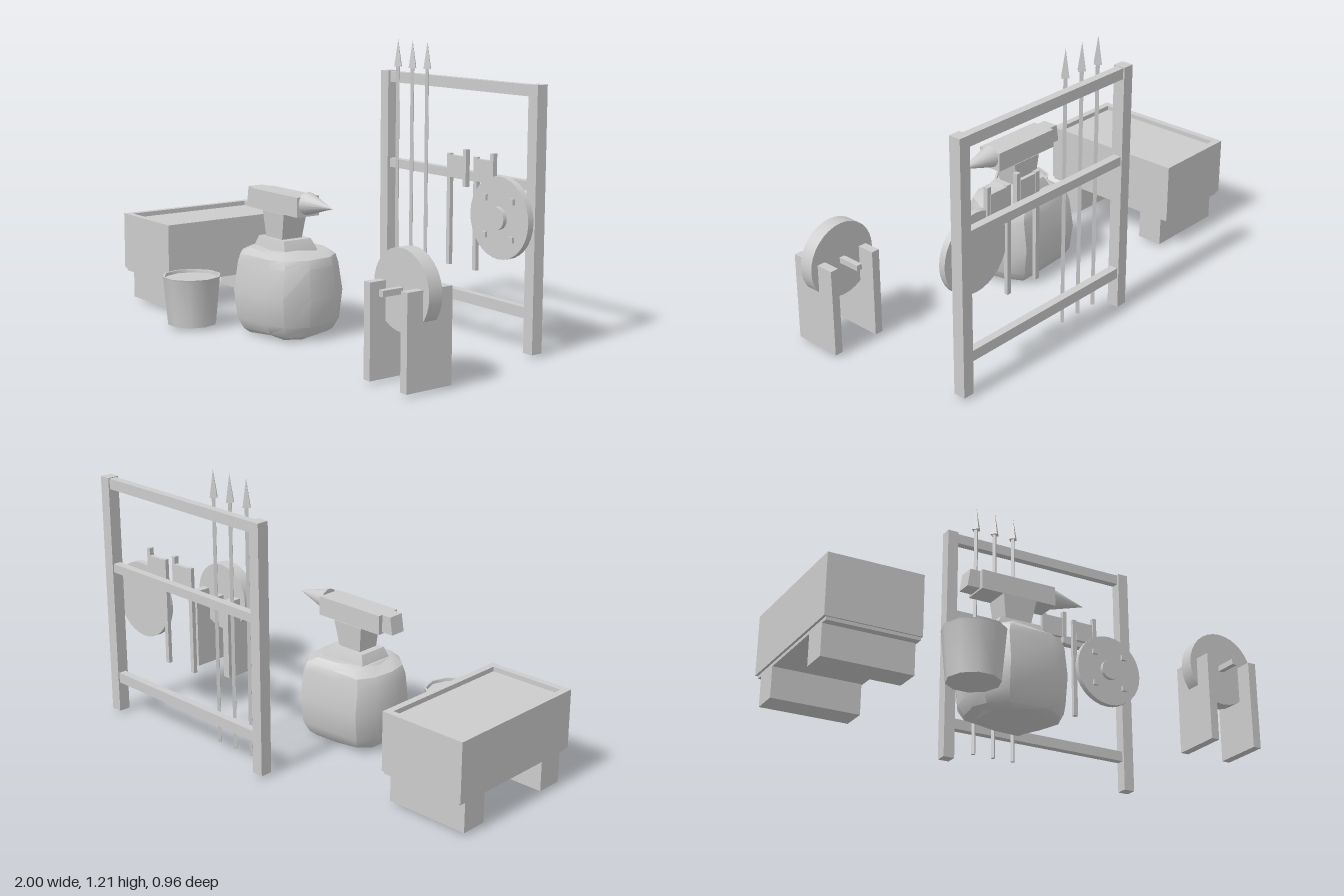
import * as THREE from 'three';
import { toCreasedNormals } from 'three/addons/utils/BufferGeometryUtils.js';

export function createModel() {
  const model = new THREE.Group();
  const grey = new THREE.MeshStandardMaterial({ color: 0xcccccc });
  grey.name = 'plain grey';

  function group(name) {
    const g = new THREE.Group();
    g.name = name;
    model.add(g);
    return g;
  }
  function add(parent, name, geo, x = 0, y = 0, z = 0) {
    const m = new THREE.Mesh(geo, grey);
    m.name = name;
    m.position.set(x, y, z);
    parent.add(m);
    return m;
  }
  // Box given by its limits on each axis
  function box(parent, name, [x0, x1], [y0, y1], [z0, z1]) {
    return add(parent, name, new THREE.BoxGeometry(x1 - x0, y1 - y0, z1 - z0),
      (x0 + x1) / 2, (y0 + y1) / 2, (z0 + z1) / 2);
  }
  // Closed solid from stacked rings of [x, y, z] points, listed bottom to top
  function loft(rings, crease) {
    const n = rings[0].length, pos = rings.flat(2), idx = [];
    rings.slice(1).forEach((_, r) => {
      for (let i = 0; i < n; i++) {
        const a = r * n + i, b = r * n + (i + 1) % n;
        idx.push(a, a + n, b, b, a + n, b + n);
      }
    });
    const top = (rings.length - 1) * n;
    for (let i = 1; i < n - 1; i++) {
      idx.push(0, i, i + 1);
      idx.push(top, top + i + 1, top + i);
    }
    const g = new THREE.BufferGeometry();
    g.setAttribute('position', new THREE.Float32BufferAttribute(pos, 3));
    g.setIndex(idx);
    return toCreasedNormals(g, crease);
  }
  // Rectangle ring at height y, clockwise from above
  const rect = (y, x0, x1, z0, z1) => [[x0, y, z0], [x1, y, z0], [x1, y, z1], [x0, y, z1]];

  // Trough: block with a raised rim and two feet
  const trough = group('trough');
  box(trough, 'troughBody', [-0.99, -0.615], [0.147, 0.165], [-0.308, 0.343]);
  box(trough, 'troughFilling', [-0.99, -0.62], [0.16, 0.39], [-0.305, 0.34]);
  const wall = new THREE.Shape();
  wall.moveTo(-1, -0.35).lineTo(-0.61, -0.35).lineTo(-0.61, 0.315).lineTo(-1, 0.315);
  const opening = new THREE.Path();
  opening.moveTo(-0.97, -0.32).lineTo(-0.97, 0.285).lineTo(-0.64, 0.285).lineTo(-0.64, -0.32);
  wall.holes.push(opening);
  const wallGeo = new THREE.ExtrudeGeometry(wall, { depth: 0.25, bevelEnabled: false });
  wallGeo.rotateX(-Math.PI / 2);
  add(trough, 'troughWalls', wallGeo, 0, 0.16, 0);
  for (const z of [-0.275, 0.195])
    box(trough, 'troughFoot', [-0.99, -0.62], [0.02, 0.15], [z, z + 0.115]);

  // Bucket: ten-sided, filled almost to the rim
  const profile = [[0, 0.02], [0.105, 0.02], [0.124, 0.22], [0.126, 0.228], [0.117, 0.228], [0.115, 0.215], [0, 0.215]]
    .map(([r, y]) => new THREE.Vector2(r, y));
  const bucketGeo = toCreasedNormals(new THREE.LatheGeometry(profile, 10), 0.7);
  bucketGeo.rotateY(Math.PI / 2);
  add(model, 'bucket', bucketGeo, -0.405, 0, 0.36);

  // Boulder: one uneven outline, scaled and shifted for each level
  const outline = [[-0.29, 0], [-0.25, -0.08], [-0.1, -0.08], [0.06, -0.09], [0.12, -0.01], [0.135, 0.13],
    [0.085, 0.23], [0.01, 0.27], [-0.2, 0.28], [-0.28, 0.21], [-0.3, 0.11]];
  const levels = [[0.008, 0.68, 0.7, 0.05], [0.025, 0.86, 0.8, 0.03], [0.07, 0.97, 0.92, 0.015],
    [0.19, 1, 1, 0], [0.31, 0.97, 0.9, 0], [0.345, 0.9, 0.86, 0], [0.372, 0.62, 0.72, 0.04]];
  const rings = levels.map(([y, sx, sz, wobble]) => outline.map(([x, z], i) => [
    -0.083 + (x + 0.083) * sx,
    y + wobble * 0.35 * Math.max(0, Math.sin(i * 2.1)) * (y > 0.3 ? -1 : 1),
    0.097 + (z - 0.097) * sz,
  ]));
  add(model, 'boulder', loft(rings, 0.6));

  // Anvil
  const anvil = group('anvil');
  add(anvil, 'anvilBase', loft([rect(0.35, -0.205, 0.025, 0.01, 0.18), rect(0.372, -0.2, 0.02, 0.015, 0.175),
    rect(0.412, -0.18, 0, 0.03, 0.165)], 0.3));
  add(anvil, 'anvilWaist', loft([rect(0.41, -0.15, -0.035, 0.05, 0.15), rect(0.52, -0.163, -0.012, 0.042, 0.158)], 0.3));
  box(anvil, 'anvilBody', [-0.26, 0.078], [0.52, 0.602], [0.045, 0.155]);
  add(anvil, 'anvilHeel', loft([rect(0.527, -0.315, -0.255, 0.065, 0.135), rect(0.602, -0.303, -0.255, 0.065, 0.135)], 0.3));
  const horn = new THREE.ConeGeometry(0.048, 0.17, 14);
  horn.rotateZ(-Math.PI / 2);
  add(anvil, 'anvilHorn', horn, 0.16, 0.573, 0.1);

  // Rack: two posts and three rails
  const rack = group('rack');
  for (const x of [-0.115, 0.79])
    box(rack, 'rackPost', [x, x + 0.05], [0.02, 1.08], [-0.482, -0.43]);
  for (const [y0, y1] of [[1.032, 1.077], [0.664, 0.702], [0.155, 0.2]])
    box(rack, 'rackRail', [-0.07, 0.795], [y0, y1], [-0.476, -0.442]);

  // Spears: four-sided shafts and points
  for (const x of [0.017, 0.112, 0.207]) {
    const spear = group('spear');
    const shaft = toCreasedNormals(new THREE.CylinderGeometry(0.01, 0.01, 1.065, 4), 0.3);
    add(spear, 'spearShaft', shaft, x, 0.5775, -0.416);
    const tip = toCreasedNormals(new THREE.ConeGeometry(0.021, 0.115, 4), 0.3);
    add(spear, 'spearHead', tip, x, 1.162, -0.416);
  }

  // Axes
  for (const x of [0.354, 0.514]) {
    const axe = group('axe');
    box(axe, 'axeHandle', [x, x + 0.02], [0.31, 0.772], [-0.42, -0.403]);
    box(axe, 'axeHead', [x + 0.02, x + 0.106], [0.675, 0.766], [-0.418, -0.402]);
    box(axe, 'axeBlade', [x + 0.104, x + 0.122], [0.645, 0.797], [-0.417, -0.396]);
  }

  // Disc lying along z, used for the shield and the grindstone
  function disc(r, z0, z1, sides) {
    const g = new THREE.CylinderGeometry(r, r, z1 - z0, sides);
    g.rotateX(Math.PI / 2);
    g.translate(0, 0, (z0 + z1) / 2);
    return g;
  }

  // Shield with boss and four studs
  const shield = group('shield');
  add(shield, 'shieldDisc', disc(0.165, -0.408, -0.38, 32), 0.69, 0.55);
  add(shield, 'shieldBoss', disc(0.046, -0.385, -0.362, 20), 0.69, 0.55);
  for (const sx of [-1, 1]) for (const sy of [-1, 1]) {
    const x = 0.69 + sx * 0.077, y = 0.55 + sy * 0.075;
    box(shield, 'shieldStud', [x - 0.012, x + 0.012], [y - 0.012, y + 0.012], [-0.385, -0.368]);
  }

  // Grindstone on two upright boards
  const grinder = group('grinder');
  add(grinder, 'grindstone', disc(0.157, 0.175, 0.237, 32), 0.84, 0.37);
  box(grinder, 'grinderAxle', [0.828, 0.852], [0.358, 0.382], [0.075, 0.33]);
  for (const x of [0.716, 0.928])
    box(grinder, 'grinderBoard', [x, x + 0.036], [0.02, 0.392], [0.098, 0.31]);

  return model;
}
